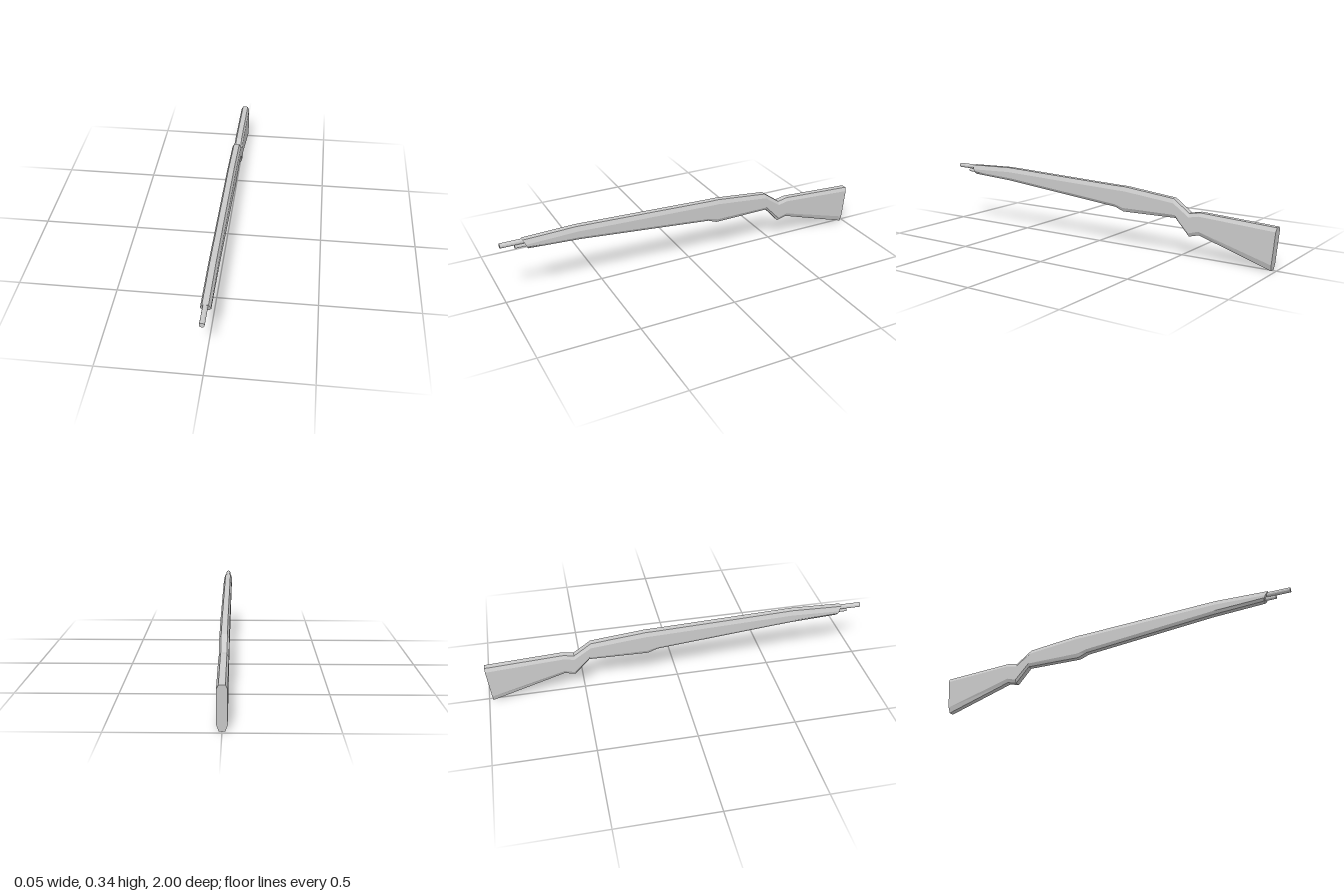
import * as THREE from 'three';

const material = new THREE.MeshStandardMaterial({ color: 0xcccccc, flatShading: true, side: THREE.DoubleSide });

// Stock stations from muzzle to butt: [zTop, yTop, zBottom, yBottom, top bevel, bottom bevel]
const stations = [
  [0.89, 0.328, 0.868, 0.278, 0.024, 0.013],
  [0.62, 0.337, 0.60, 0.264, 0.024, 0.015],
  [-0.11, 0.312, -0.11, 0.2, 0.022, 0.015],
  [-0.17, 0.311, -0.16, 0.181, 0.022, 0.02],
  [-0.455, 0.283, -0.468, 0.187, 0.022, 0.016],
  [-0.545, 0.219, -0.545, 0.103, 0.018, 0.018],
  [-0.6, 0.23, -0.6, 0.117, 0.018, 0.02],
  [-1, 0.21, -0.98, 0, 0.02, 0.03],
];

// Eight-sided cross-section with bevelled top and bottom
function ring([zt, yt, zb, yb, bt, bb]) {
  const W = 0.024, N = 0.0145;
  const outline = [[N, yb], [W, yb + bb], [W, yt - bt], [N, yt], [-N, yt], [-W, yt - bt], [-W, yb + bb], [-N, yb]];
  return outline.map(([x, y]) => [x, y, zb + (zt - zb) * (y - yb) / (yt - yb)]);
}

function loft(sections) {
  const rings = sections.map(ring);
  const n = rings[0].length, last = (rings.length - 1) * n;
  const index = [];
  for (let i = 0; i < rings.length - 1; i++) {
    for (let j = 0; j < n; j++) {
      const a = i * n + j, b = i * n + (j + 1) % n;
      index.push(a, a + n, b, b, a + n, b + n);
    }
  }
  // End caps
  for (let j = 1; j < n - 1; j++) {
    index.push(0, j, j + 1, last, last + j + 1, last + j);
  }
  const g = new THREE.BufferGeometry();
  g.setAttribute('position', new THREE.Float32BufferAttribute(rings.flat(2), 3));
  g.setIndex(index);
  const flat = g.toNonIndexed();
  flat.computeVertexNormals();
  return flat;
}

// Round bar along z
function rod(name, radius, y, z0, z1) {
  const g = new THREE.CylinderGeometry(radius, radius, z1 - z0, 12).rotateX(Math.PI / 2);
  const mesh = new THREE.Mesh(g, material);
  mesh.position.set(0, y, (z0 + z1) / 2);
  mesh.name = name;
  return mesh;
}

export function createModel() {
  const group = new THREE.Group();
  group.name = 'rifle';
  const stock = new THREE.Mesh(loft(stations), material);
  stock.name = 'stock';
  group.add(stock);
  group.add(rod('barrel', 0.0125, 0.316, 0.84, 1));
  group.add(rod('cleaningRod', 0.009, 0.294, 0.84, 0.928));
  return group;
}
